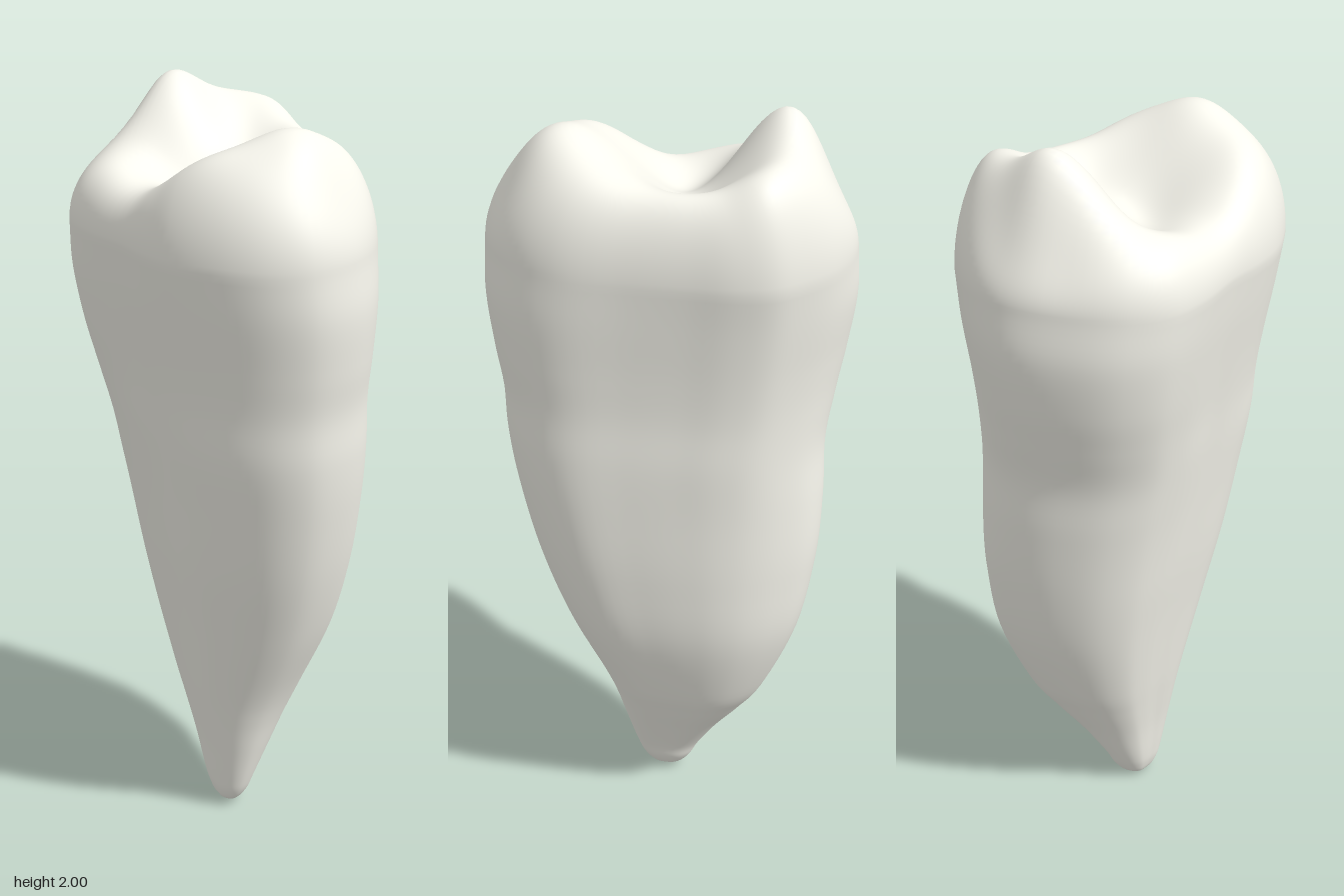
import * as THREE from 'three';
import { mergeVertices } from 'three/addons/utils/BufferGeometryUtils.js';

const SEGMENTS = 105, BODY_RINGS = 80, CROWN_RINGS = 36, SHOULDER = 1.66;

// Lopsided cross-sections as [x, z] within -1..1
const CROWN_OUTLINE = [
  [-1, 0], [-0.98, -0.38], [-0.87, -0.65], [-0.67, -0.86], [-0.44, -0.97], [-0.27, -1],
  [-0.07, -0.93], [0.16, -0.77], [0.44, -0.57], [0.76, -0.33], [0.93, -0.08], [1, 0.24],
  [0.94, 0.58], [0.78, 0.79], [0.54, 0.93], [0.22, 1], [0, 0.96], [-0.22, 0.87],
  [-0.53, 0.8], [-0.76, 0.68], [-0.93, 0.41],
];
const ROOT_OUTLINE = [
  [-1, -0.1], [-1, -0.45], [-0.95, -0.73], [-0.79, -0.92], [-0.55, -1], [-0.3, -1],
  [-0.07, -0.93], [0.18, -0.79], [0.46, -0.6], [0.77, -0.36], [0.94, -0.08], [1, 0.24],
  [0.95, 0.59], [0.79, 0.81], [0.55, 0.94], [0.22, 1], [0, 0.95], [-0.22, 0.85],
  [-0.5, 0.73], [-0.73, 0.58], [-0.91, 0.3],
];

// Extents of the body at each height: [y, xMin, xMax, zMin, zMax]
const BODY = [
  [0, 0, 0.015, 0.035, 0.045], [0.015, -0.032, 0.044, 0.008, 0.077], [0.05, -0.055, 0.07, -0.017, 0.095],
  [0.1, -0.077, 0.09, -0.037, 0.105], [0.2, -0.118, 0.123, -0.098, 0.121], [0.3, -0.167, 0.155, -0.167, 0.139],
  [0.4, -0.215, 0.195, -0.225, 0.158], [0.6, -0.287, 0.286, -0.288, 0.197], [0.8, -0.33, 0.352, -0.305, 0.237],
  [1, -0.355, 0.395, -0.31, 0.27], [1.15, -0.367, 0.415, -0.315, 0.294], [1.28, -0.4, 0.42, -0.32, 0.307],
  [1.4, -0.43, 0.437, -0.331, 0.325], [1.54, -0.45, 0.45, -0.349, 0.35], [SHOULDER, -0.441, 0.442, -0.366, 0.37],
];

// Chewing surface before its edge is rounded over: [x, z, height]
const RELIEF = [
  // tall cusp
  [-0.27, -0.08, 2.03], [-0.35, -0.08, 1.97], [-0.39, -0.02, 1.87], [-0.385, -0.13, 1.89],
  [-0.25, -0.25, 1.98], [-0.33, 0.1, 1.89], [-0.29, 0.02, 1.965],
  // broad cusp
  [0.22, 0.1, 1.97], [0.345, 0.1, 1.955], [0.4, 0.1, 1.9], [0.13, 0.28, 1.95], [0.33, 0.22, 1.935],
  [0.12, 0.335, 1.95], [0.3, -0.08, 1.935], [0.2, -0.12, 1.915],
  // front rim
  [-0.28, 0.15, 1.865], [-0.2, 0.2, 1.83], [-0.1, 0.24, 1.815], [0, 0.25, 1.855], [0.1, 0.22, 1.915],
  // back rim
  [-0.13, -0.31, 1.99], [-0.04, -0.28, 1.93], [0.06, -0.22, 1.91],
  // pit and grooves
  [-0.06, 0.07, 1.765], [-0.17, 0.1, 1.805], [-0.18, 0, 1.9], [-0.14, -0.15, 1.905],
  [-0.02, -0.1, 1.815], [0.1, 0.03, 1.87],
];

// Smooth surface through the relief points, solved by repeated correction
function makeRelief() {
  const kernel = (x, z, p) => 1 / Math.sqrt(1 + ((x - p[0]) ** 2 + (z - p[1]) ** 2) / 0.0144);
  const weights = RELIEF.map(() => 0);
  const height = (x, z) => RELIEF.reduce((sum, p, i) => sum + weights[i] * kernel(x, z, p), 1.88);
  for (let pass = 0; pass < 300; pass++) {
    RELIEF.forEach(([x, z, h], i) => { weights[i] += h - height(x, z); });
  }
  return height;
}

function sectionPoints(outline) {
  return new THREE.CatmullRomCurve3(outline.map(([x, z]) => new THREE.Vector3(x, 0, z)), true)
    .getPoints(SEGMENTS).slice(0, SEGMENTS);
}

function toothGeometry() {
  const crownSection = sectionPoints(CROWN_OUTLINE), rootSection = sectionPoints(ROOT_OUTLINE);
  const curve = (a, b) => new THREE.CatmullRomCurve3(
    BODY.map((r) => new THREE.Vector3(r[0], r[a], r[b])), false, 'catmullrom', 0.5);
  const xCurve = curve(1, 2), zCurve = curve(3, 4);
  const points = [];

  // Root and crown walls
  for (let i = 0; i <= BODY_RINGS; i++) {
    const ex = xCurve.getPoint(i / BODY_RINGS), ez = zCurve.getPoint(i / BODY_RINGS);
    const blend = THREE.MathUtils.smoothstep(ex.x, 0.8, 1.45);
    rootSection.forEach((root, j) => {
      const p = root.clone().lerp(crownSection[j], blend);
      points.push(new THREE.Vector3(
        (ex.y + ex.z) / 2 + p.x * (ex.z - ex.y) / 2,
        Math.max(0, ex.x),
        (ez.y + ez.z) / 2 + p.z * (ez.z - ez.y) / 2));
    });
  }

  // Chewing surface, rounding over from the shoulder towards the middle
  const rim = points.slice(-SEGMENTS), crown = [], relief = makeRelief();
  for (let i = 1; i <= CROWN_RINGS; i++) {
    const s = i === CROWN_RINGS ? 0 : Math.cos((i / CROWN_RINGS) * Math.PI / 2);
    const rise = Math.sqrt(1 - s ** 4);
    for (const p of rim) {
      const x = p.x * s, z = p.z * s;
      crown.push(new THREE.Vector3(x, SHOULDER + (relief(x, z) - SHOULDER) * rise, z));
    }
  }
  // Bring the highest cusp to full height
  const top = Math.max(...crown.map((p) => p.y));
  for (const p of crown) p.y = SHOULDER + (p.y - SHOULDER) * (2 - SHOULDER) / (top - SHOULDER);
  points.push(...crown);

  // Skin the rings and close the root tip
  const index = [], rings = points.length / SEGMENTS;
  for (let i = 0; i < rings - 1; i++) {
    for (let j = 0; j < SEGMENTS; j++) {
      const a = i * SEGMENTS + j, b = i * SEGMENTS + (j + 1) % SEGMENTS;
      const c = a + SEGMENTS, d = b + SEGMENTS;
      index.push(a, c, b);
      if (i < rings - 2) index.push(b, c, d);
    }
  }
  for (let j = 1; j < SEGMENTS - 1; j++) index.push(0, j, j + 1);

  const geometry = new THREE.BufferGeometry().setFromPoints(points);
  geometry.setIndex(index);
  const merged = mergeVertices(geometry, 1e-5);
  merged.computeVertexNormals();
  return merged;
}

export function createModel() {
  const group = new THREE.Group();
  group.name = 'tooth';
  const tooth = new THREE.Mesh(toothGeometry(), new THREE.MeshStandardMaterial({ color: 0xf8f7ee }));
  tooth.name = 'crownAndRoot';
  group.add(tooth);
  return group;
}
